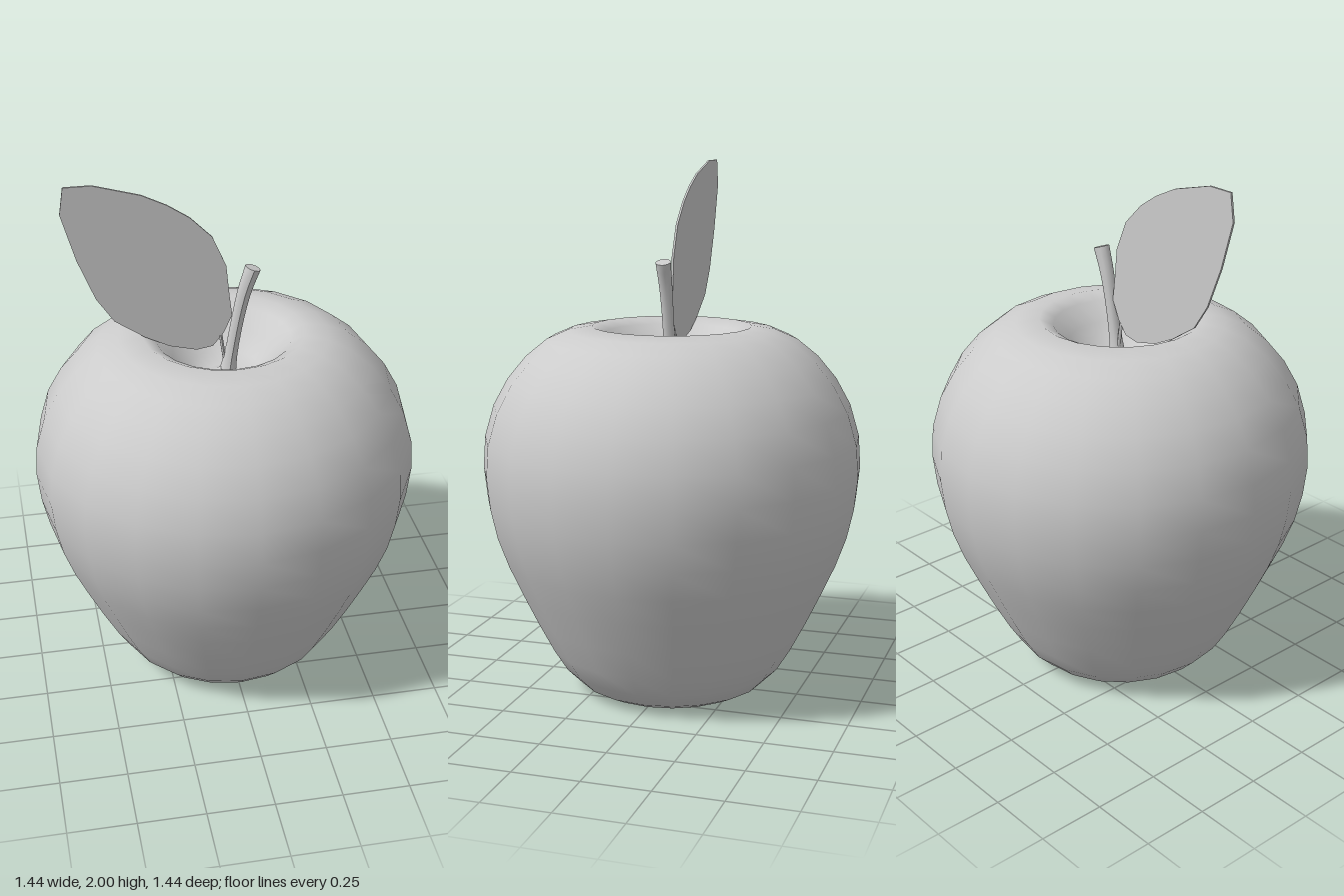
import * as THREE from 'three';

const grey = new THREE.MeshStandardMaterial({ color: 0xcccccc });

function addPart(group, name, geometry, material = grey) {
  const mesh = new THREE.Mesh(geometry, material);
  mesh.name = name;
  group.add(mesh);
  return mesh;
}

const points = (list) => list.map(([x, y]) => new THREE.Vector2(x, y));

// Tapered round rod that follows a curve in the xy plane
function bentRod(path, radiusAt, sides, steps) {
  const curve = new THREE.CatmullRomCurve3(path.map(([x, y, z = 0]) => new THREE.Vector3(x, y, z)));
  const geo = new THREE.CylinderGeometry(1, 1, 1, sides, steps);
  const pos = geo.attributes.position;
  for (let i = 0; i < pos.count; i++) {
    const t = THREE.MathUtils.clamp(pos.getY(i) + 0.5, 0, 1);
    const centre = curve.getPoint(t);
    const dir = curve.getTangent(t);
    const r = radiusAt(t);
    const across = pos.getX(i) * r;
    pos.setXYZ(i, centre.x + dir.y * across, centre.y - dir.x * across, centre.z + pos.getZ(i) * r);
  }
  geo.computeVertexNormals();
  return geo;
}

export function createModel() {
  const group = new THREE.Group();
  group.name = 'apple';

  // Fruit body: turned profile from the lower hollow to the stem hollow
  const profile = points([
    [0, 0.12], [0.1, 0.09], [0.2, 0.035], [0.25, 0.01], [0.3, 0], [0.36, 0.03], [0.42, 0.09],
    [0.47, 0.17], [0.53, 0.285], [0.59, 0.41], [0.64, 0.52], [0.68, 0.63], [0.705, 0.74],
    [0.718, 0.86], [0.71, 0.98], [0.675, 1.1], [0.62, 1.2], [0.55, 1.285], [0.47, 1.35],
    [0.39, 1.385], [0.3, 1.4], [0.25, 1.375], [0.19, 1.31], [0.13, 1.25], [0.07, 1.22],
    [0.03, 1.235], [0, 1.26],
  ]);
  addPart(group, 'fruitBody', new THREE.LatheGeometry(profile, 20));

  // Stem: leaning rod, flared at the base and thicker at the tip
  const stemRadius = (t) => 0.021 + 0.008 * t * t + 0.02 * Math.pow(1 - t, 8);
  addPart(group, 'stem', bentRod(
    [[0.01, 1.2], [0.03, 1.32], [0.055, 1.46], [0.078, 1.56], [0.107, 1.645]], stemRadius, 10, 10));

  // Leaf blade: thin flat plate
  const outline = points([
    [0, 1.39], [0.032, 1.46], [0.022, 1.54], [0.01, 1.66], [-0.04, 1.775], [-0.12, 1.855],
    [-0.2, 1.908], [-0.29, 1.952], [-0.46, 2], [-0.56, 2], [-0.575, 1.9], [-0.525, 1.725],
    [-0.463, 1.57], [-0.4, 1.475], [-0.29, 1.4], [-0.2, 1.355], [-0.1, 1.33], [-0.04, 1.34],
  ]);
  const blade = new THREE.ExtrudeGeometry(new THREE.Shape(outline), { depth: 0.008, bevelEnabled: false });
  blade.translate(0, 0, -0.01);
  addPart(group, 'leaf', blade);

  // Short stalk joining the leaf to the stem base
  addPart(group, 'leafStalk', bentRod(
    [[0.01, 1.25, -0.006], [0, 1.31, -0.006], [-0.01, 1.38, -0.006]], () => 0.007, 6, 3));

  return group;
}
